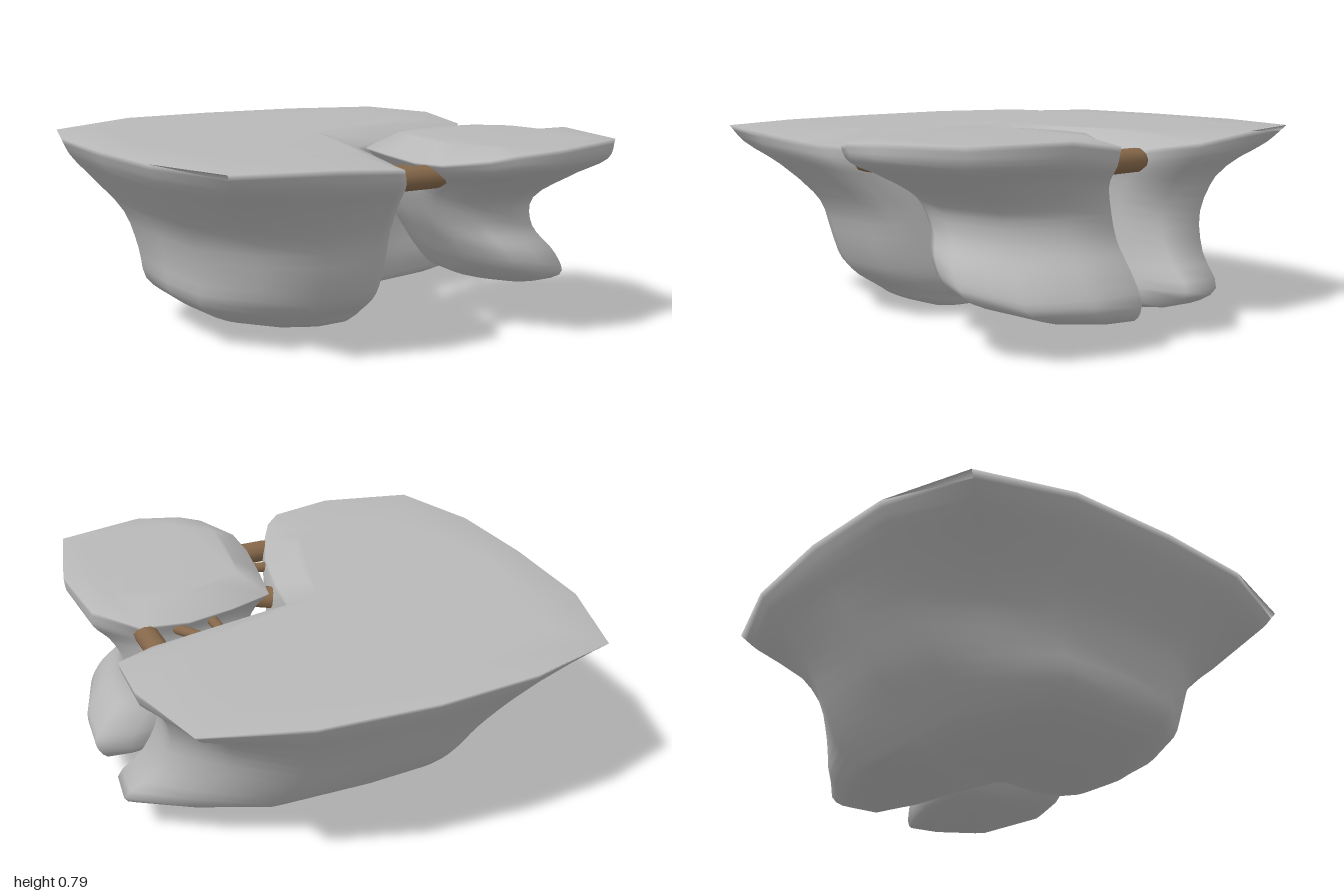
import * as THREE from 'three';

const stone = new THREE.MeshStandardMaterial({ color: 0xb8b8b8 });
stone.name = 'pale stone';
const wood = new THREE.MeshStandardMaterial({ color: 0x86684a });
wood.name = 'brown wood';

// Rim outlines as [x, z, drop of the rim, x shift below the lip, z shift below the lip],
// clockwise from above; the rim dips along the crack
const mainRim = [
  [-0.95, 0, 0.01, 0, 0], [-0.93, -0.46, 0.01, 0, 0], [-0.81, -0.85, 0.02, 0, 0],
  [-0.42, -0.97, 0, 0, 0], [0, -1, 0, 0, 0], [0.46, -0.97, 0, 0, 0], [0.85, -0.85, 0, 0, 0],
  [0.94, -0.48, 0, 0, 0], [0.92, -0.2, 0.03, 0, 0], [0.75, -0.08, 0.06, 0, 0],
  [0.44, -0.02, 0.065, 0, 0.03], [0.13, 0.03, 0.07, 0.06, 0.07], [0.1, 0.24, 0.07, 0.05, 0.05],
  [0.04, 0.5, 0.065, 0.06, 0], [-0.04, 0.7, 0.06, 0.08, -0.03], [-0.1, 0.81, 0.045, 0.08, -0.02],
  [-0.17, 0.87, 0.03, 0.05, 0], [-0.43, 0.89, 0.01, 0, 0], [-0.81, 0.8, 0.01, 0, 0],
  [-0.93, 0.42, 0.01, 0, 0],
];
const smallRim = [
  [0.17, 0.15, 0.06, 0, 0], [0.35, 0.09, 0.065, 0, 0], [0.55, 0.05, 0.07, 0, 0],
  [0.75, 0.08, 0.07, 0, 0], [0.9, 0.22, 0.04, 0.03, -0.02], [0.94, 0.5, 0, -0.02, 0],
  [0.84, 0.9, 0, -0.04, -0.04], [0.47, 1, 0, 0, 0], [0.28, 0.97, 0.01, 0, 0],
  [0.19, 0.93, 0.025, 0, 0], [0.09, 0.77, 0.05, 0, 0], [0.09, 0.6, 0.06, 0, 0],
  [0.13, 0.35, 0.06, 0, 0],
];

// Levels as [y, xMin, xMax, zMin, zMax]
const mainLevels = [
  [0.77, -0.95, 0.94, -1, 0.89], [0.70, -0.92, 0.92, -0.96, 0.87], [0.6, -0.84, 0.83, -0.88, 0.77],
  [0.45, -0.72, 0.79, -0.77, 0.65], [0.3, -0.68, 0.85, -0.66, 0.6], [0.18, -0.67, 0.96, -0.55, 0.54],
  [0.11, -0.59, 0.86, -0.48, 0.45], [0.095, -0.56, 0.5, -0.46, 0.43], [0.07, -0.5, 0.2, -0.42, 0.4],
  [0.03, -0.36, 0.02, -0.31, 0.3], [0, -0.2, -0.2, 0, 0],
];
const smallLevels = [
  [0.79, 0.09, 0.94, 0.05, 1], [0.715, 0.13, 0.93, 0.08, 0.99], [0.63, 0.19, 0.85, 0.08, 0.87],
  [0.5, 0.23, 0.79, 0.06, 0.71], [0.38, 0.28, 0.81, 0.05, 0.69], [0.27, 0.34, 0.9, 0.05, 0.74],
  [0.18, 0.4, 0.95, 0.06, 0.73], [0.1, 0.5, 0.9, 0.1, 0.48], [0.09, 0.68, 0.68, 0.26, 0.26],
];

// The dip fades out below the lip; the shifts fade in below it and out at the base
const dip = (drop, y) => drop * THREE.MathUtils.clamp((y - 0.5) / 0.27, 0, 1);
const shiftAt = y => THREE.MathUtils.clamp((0.77 - y) / 0.25, 0, 1) * Math.min(1, y / 0.12);

// Scale each side of the main outline from the origin and round the corners below the lip
const fromOrigin = ([x, z, drop, sx, sz], [y, x0, x1, z0, z1]) => {
  if (x0 === x1) return new THREE.Vector3(x0, y, z0);
  const s = shiftAt(y);
  const round = 1 - 0.5 * Math.min(1, (0.77 - y) / 0.25) * Math.max(0, Math.abs(x * z) - 0.45);
  return new THREE.Vector3(
    round * x * (x > 0 ? x1 / 0.94 : x0 / -0.95) + sx * s,
    y - dip(drop, y),
    round * z * (z > 0 ? z1 / 0.89 : -z0) + sz * s);
};

// Fit the small outline between the limits, with a leaning underside
const fitted = ([x, z, drop, sx, sz], [y, x0, x1, z0, z1]) => {
  const s = x0 === x1 ? 0 : shiftAt(y);
  const px = x0 + (x - 0.09) / 0.85 * (x1 - x0) + sx * s;
  const pz = z0 + (z - 0.05) / 0.95 * (z1 - z0) + sz * s;
  const lean = THREE.MathUtils.lerp(0.22, -0.02, y / 0.79);
  return new THREE.Vector3(px, y + (0.94 - px) * lean - dip(drop, y), pz);
};

// One smooth skin: a flat top patch, then rings over the rim and down to the base
function rock(name, rim, levels, place, [cx, cz], topY) {
  const n = rim.length, steps = 30;
  const columns = rim.map(p => new THREE.CatmullRomCurve3(
    levels.map(l => place(p, l)), false, 'centripetal').getPoints(steps));
  const patch = rim.map(([x, z]) => new THREE.Vector2(cx + (x - cx) * 0.75, cz + (z - cz) * 0.75));
  const pos = patch.flatMap(p => [p.x, topY, p.y]);
  for (let i = 0; i <= steps; i++) columns.forEach(c => pos.push(...c[i].toArray()));

  // Top patch, every triangle turned to face up
  const idx = THREE.ShapeUtils.triangulateShape(patch, []).flatMap(([a, b, c]) => {
    const ab = patch[b].clone().sub(patch[a]), ac = patch[c].clone().sub(patch[a]);
    return ab.cross(ac) < 0 ? [a, b, c] : [a, c, b];
  });
  for (let i = 0; i <= steps; i++) {
    for (let j = 0; j < n; j++) {
      const a = i * n + j, b = i * n + (j + 1) % n;
      idx.push(a, b, a + n, b, b + n, a + n);
    }
  }
  const geometry = new THREE.BufferGeometry();
  geometry.setAttribute('position', new THREE.Float32BufferAttribute(pos, 3));
  geometry.setIndex(idx);
  geometry.computeVertexNormals();
  const mesh = new THREE.Mesh(geometry, stone);
  mesh.name = name;
  return mesh;
}

// Rounded log between two points
function log(name, from, to, radius) {
  const a = new THREE.Vector3(...from), b = new THREE.Vector3(...to);
  const dir = b.clone().sub(a);
  const mesh = new THREE.Mesh(
    new THREE.CapsuleGeometry(radius, Math.max(0.01, dir.length() - radius), 2, 10), wood);
  mesh.name = name;
  mesh.position.copy(a).add(b).multiplyScalar(0.5);
  mesh.quaternion.setFromUnitVectors(new THREE.Vector3(0, 1, 0), dir.normalize());
  return mesh;
}

export function createModel() {
  const model = new THREE.Group();
  model.name = 'splitRock';
  model.add(rock('mainRock', mainRim, mainLevels, fromOrigin, [-0.25, -0.3], 0.77));
  model.add(rock('smallRock', smallRim, smallLevels, fitted, [0.55, 0.55], 0.785));

  // Logs bridging the crack
  const logs = [
    [[-0.05, 0.665, 0.67], [0.17, 0.665, 0.67], 0.047],
    [[0, 0.67, 0.485], [0.16, 0.67, 0.515], 0.022],
    [[0.07, 0.625, 0.26], [0.2, 0.625, 0.35], 0.047],
    [[0.44, 0.675, -0.04], [0.44, 0.675, 0.12], 0.022],
    [[0.51, 0.675, -0.05], [0.6, 0.675, 0.09], 0.022],
    [[0.72, 0.67, -0.09], [0.72, 0.67, 0.14], 0.047],
  ];
  logs.forEach(([a, b, r], i) => model.add(log('bridgeLog' + (i + 1), a, b, r)));
  return model;
}
